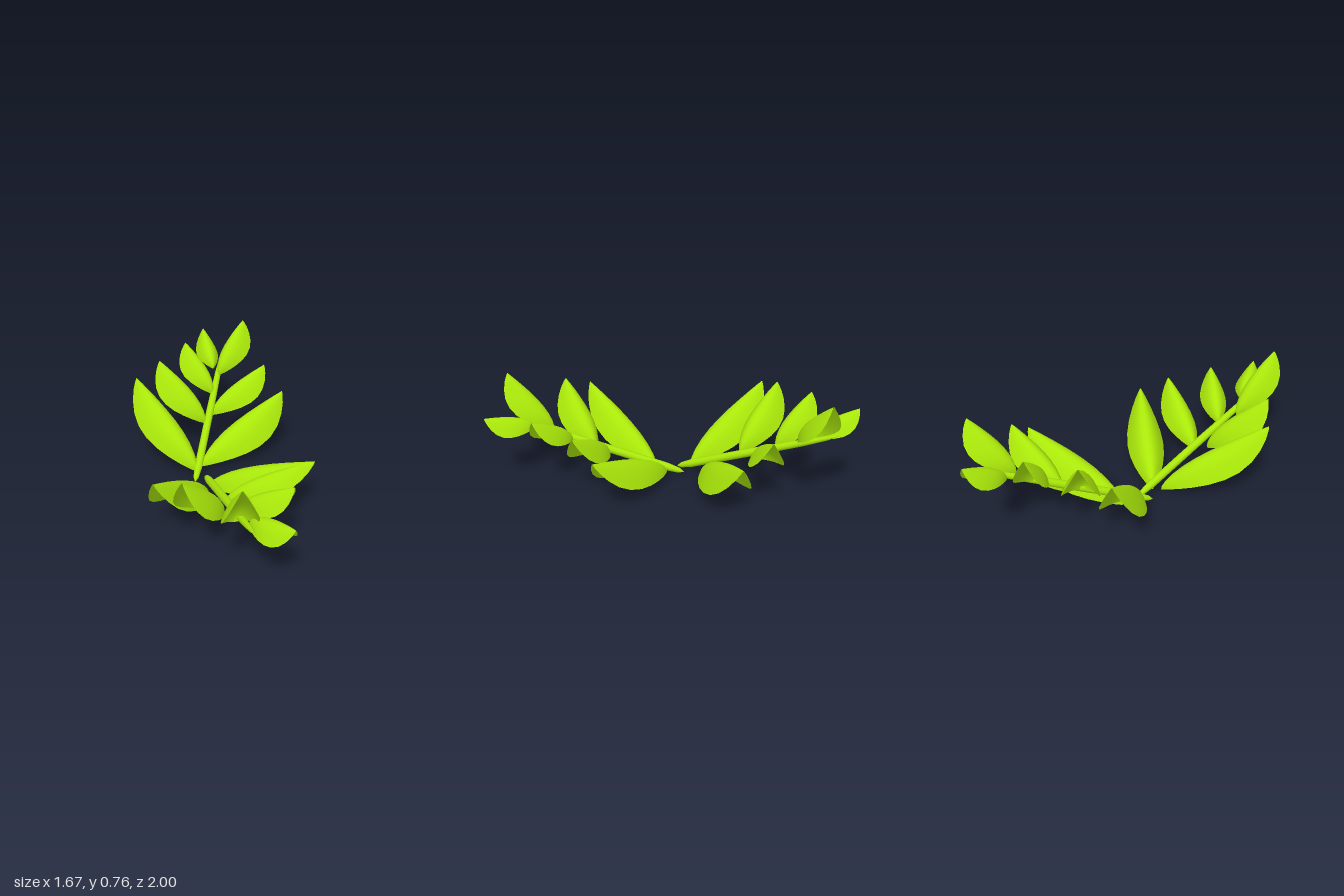
import * as THREE from 'three';

const green = new THREE.MeshStandardMaterial({ color: 0xaae80a, side: THREE.DoubleSide });
const UP = new THREE.Vector3(0, 1, 0);

// smooth hump from 0 to 1 and back; skew > 1 moves the peak towards the tip
const hump = (t, skew, power) => Math.pow(Math.abs(Math.sin(Math.PI * Math.pow(t, skew))), power);

// Domed leaf: the midrib bulges up near the base and both sides droop below it.
// A thin section made of an upper and a lower skin.
function leafGeometry(base, tip, width) {
  const half = width / 2;
  const side = new THREE.Vector3().subVectors(tip, base).cross(UP).normalize();
  const normal = side.clone().cross(new THREE.Vector3().subVectors(tip, base)).normalize();
  const rows = 12, cols = 10, stride = cols + 1;
  const positions = [], indices = [];
  for (const skin of [1, -1]) {
    const start = positions.length / 3;
    for (let i = 0; i <= rows; i++) {
      const t = (1 - Math.cos(Math.PI * i / rows)) / 2;
      const w = Math.max(0.03, hump(t, 1, 0.75));
      const ridge = 0.45 * hump(t, 0.6, 1);
      const edge = -0.88 * hump(t, 1.6, 0.8);
      for (let j = 0; j <= cols; j++) {
        const u = (j / cols) * 2 - 1;
        const lift = half * THREE.MathUtils.lerp(ridge, edge, Math.pow(Math.abs(u), 2.1))
          + skin * 0.008 * w * (1 - 0.5 * u * u);
        const p = new THREE.Vector3().lerpVectors(base, tip, t)
          .addScaledVector(side, u * w * half)
          .addScaledVector(normal, lift);
        positions.push(p.x, p.y, p.z);
      }
    }
    for (let i = 0; i < rows; i++) {
      for (let j = 0; j < cols; j++) {
        const a = start + i * stride + j, b = a + stride, c = a + 1, d = b + 1;
        if (skin > 0) indices.push(a, c, b, b, c, d);
        else indices.push(a, b, c, b, d, c);
      }
    }
  }
  const g = new THREE.BufferGeometry();
  g.setAttribute('position', new THREE.Float32BufferAttribute(positions, 3));
  g.setIndex(indices);
  g.computeVertexNormals();
  return g;
}

// Stem with a cut-back base, running to a point
function stemGeometry(from, to) {
  const length = from.distanceTo(to);
  const profile = [[0, 0], [0.018, 0.03], [0.027, 0.1], [0.027, 0.5], [0.022, 0.8], [0.014, 0.93], [0, 1]]
    .map(([r, s]) => new THREE.Vector2(r, s * length));
  const g = new THREE.LatheGeometry(profile, 10);
  const dir = new THREE.Vector3().subVectors(to, from).normalize();
  g.applyQuaternion(new THREE.Quaternion().setFromUnitVectors(UP, dir));
  g.translate(from.x, from.y, from.z);
  return g;
}

function sprig(name, from, to, leaves) {
  const group = new THREE.Group();
  group.name = name;
  const stem = new THREE.Mesh(stemGeometry(new THREE.Vector3(...from), new THREE.Vector3(...to)), green);
  stem.name = 'stem';
  group.add(stem);
  leaves.forEach(([base, tip, width], i) => {
    const leaf = new THREE.Mesh(
      leafGeometry(new THREE.Vector3(...base), new THREE.Vector3(...tip), width), green);
    leaf.name = `leaf${i + 1}`;
    group.add(leaf);
  });
  return group;
}

export function createModel() {
  const model = new THREE.Group();
  model.name = 'leafySprigs';
  // each leaf: base point, tip point, full width
  model.add(sprig('backSprig', [-0.17, 0.03, -0.2], [0.75, 0.52, -0.82], [
    [[-0.09, 0.05, -0.26], [-0.1, 0.57, -0.83], 0.26],
    [[0.2, 0.23, -0.47], [0.1, 0.64, -0.81], 0.23],
    [[0.41, 0.34, -0.6], [0.4, 0.67, -0.86], 0.19],
    [[0.57, 0.44, -0.75], [0.71, 0.65, -0.99], 0.16],
    [[0.55, 0.42, -0.67], [0.82, 0.77, -0.68], 0.2],
    [[0.32, 0.23, -0.52], [0.7, 0.55, -0.36], 0.21],
    [[0.0, 0.03, -0.31], [0.68, 0.41, -0.17], 0.28],
  ]));
  model.add(sprig('frontSprig', [-0.07, 0.03, -0.2], [-0.7, 0.41, 0.81], [
    [[-0.19, 0.01, -0.06], [-0.83, 0.49, 0.15], 0.25],
    [[-0.42, 0.15, 0.3], [-0.79, 0.57, 0.35], 0.23],
    [[-0.57, 0.29, 0.54], [-0.76, 0.7, 0.77], 0.21],
    [[-0.58, 0.35, 0.66], [-0.6, 0.48, 1.0], 0.17],
    [[-0.46, 0.26, 0.45], [-0.33, 0.51, 0.77], 0.18],
    [[-0.34, 0.16, 0.24], [-0.06, 0.47, 0.61], 0.21],
    [[-0.14, 0.03, -0.1], [0.13, 0.38, 0.56], 0.25],
  ]));
  return model;
}
